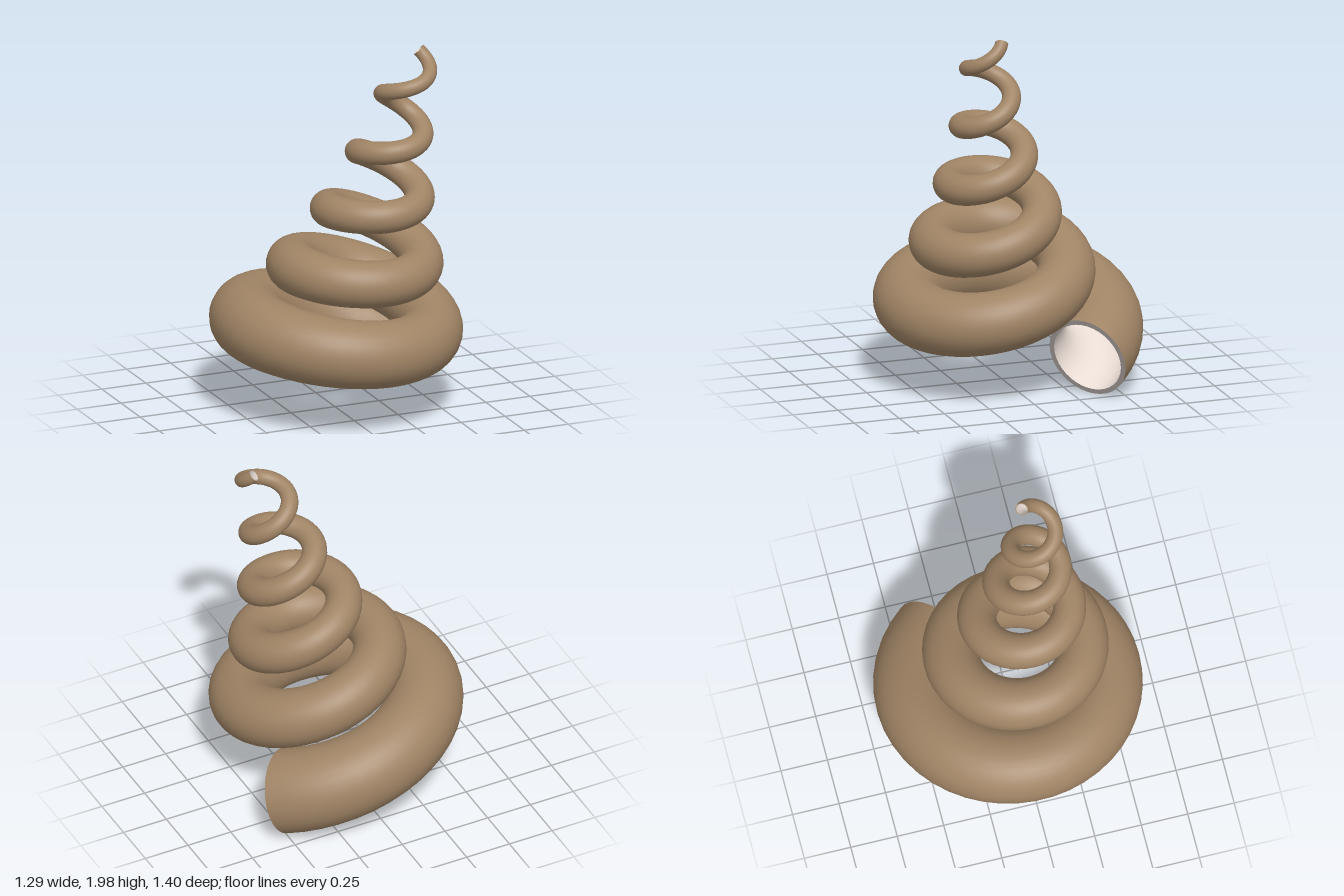
import * as THREE from 'three';

const SIDES = 36;          // points around the tube
const STEPS = 230;         // rings along the tube
const FROM = -0.397, TO = 4.65; // whorls, counted from the leftmost point of the widest one

// Whorl radius shrinks by a constant ratio each turn
const coilRadius = (n) => 0.49 * Math.pow(0.69, n);

// Centre line: a shrinking coil square to a leaning axis
function centre(n) {
  const angle = Math.PI + 2 * Math.PI * n;
  const x = coilRadius(n) * Math.cos(angle);
  const z = -coilRadius(n) * Math.sin(angle);
  return new THREE.Vector3(
    0.035 + 0.07 * n + x,
    0.42 + 0.335 * n - 0.2 * x - 0.11 * z,
    0.048 + 0.037 * n + z
  );
}

// One ring of points across the tube
function ring(n, scale) {
  const c = centre(n);
  const tangent = centre(n + 0.002).sub(centre(n - 0.002)).normalize();
  const angle = Math.PI + 2 * Math.PI * n;
  const out = new THREE.Vector3(Math.cos(angle), 0, -Math.sin(angle));
  out.addScaledVector(tangent, -out.dot(tangent)).normalize();
  const side = tangent.clone().cross(out);
  const r = 0.397 * coilRadius(n) * scale;
  return Array.from({ length: SIDES }, (_, j) => {
    const a = (j / SIDES) * 2 * Math.PI;
    return c.clone().addScaledVector(out, r * Math.cos(a)).addScaledVector(side, r * Math.sin(a));
  });
}

// Skin a list of closed rings
function loft(rings) {
  const index = [];
  for (let i = 0; i < rings.length - 1; i++) {
    for (let j = 0; j < SIDES; j++) {
      const k = (j + 1) % SIDES;
      const a = i * SIDES + j, b = i * SIDES + k;
      index.push(a, b, a + SIDES, b, b + SIDES, a + SIDES);
    }
  }
  const geometry = new THREE.BufferGeometry().setFromPoints(rings.flat());
  geometry.setIndex(index);
  geometry.computeVertexNormals();
  return geometry;
}

export function createModel() {
  const group = new THREE.Group();
  group.name = 'spiralShell';
  const add = (name, rings, color) => {
    const mesh = new THREE.Mesh(loft(rings), new THREE.MeshStandardMaterial({ color }));
    mesh.name = name;
    group.add(mesh);
  };

  const turns = Array.from({ length: STEPS + 1 }, (_, i) => FROM + ((TO - FROM) * i) / STEPS);
  const outer = turns.map((n) => ring(n, 1));
  const inner = turns.map((n) => ring(n, 0.88));

  add('outerShell', outer, 0xa08465);
  add('innerLining', [...inner].reverse(), 0xeaddd5);
  // Rims joining the two walls at the mouth and the tip
  add('mouthRim', [inner[0], outer[0]], 0xa8a09c);
  add('tipRim', [outer[STEPS], inner[STEPS]], 0xa08465);
  return group;
}
